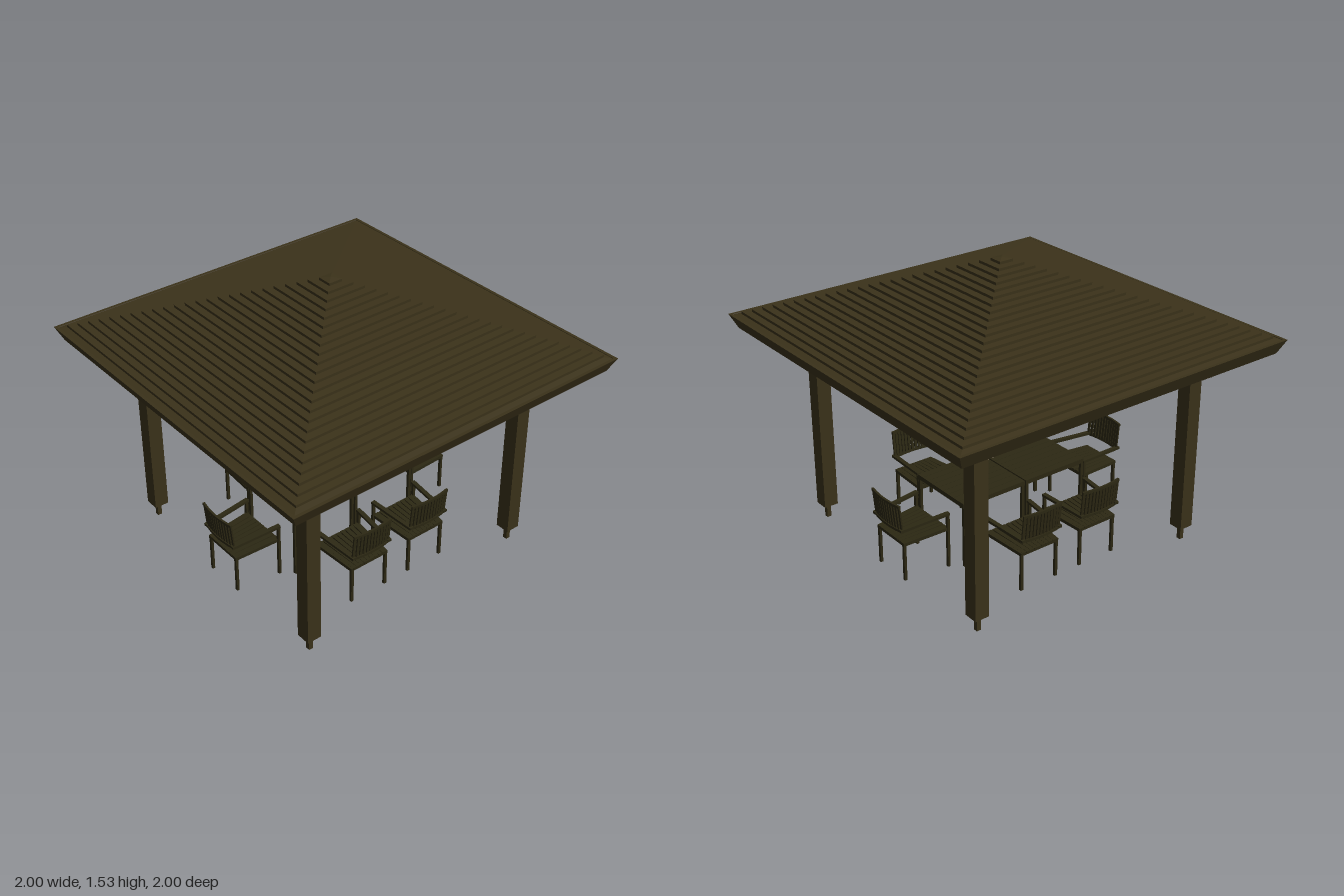
import * as THREE from 'three';

const wood = new THREE.MeshStandardMaterial({ color: 0x3b321a, flatShading: true });
const darkWood = new THREE.MeshStandardMaterial({ color: 0x2c2813, flatShading: true });
const glass = new THREE.MeshStandardMaterial({ color: 0xe0cbbb, flatShading: true });

function mesh(geometry, material, name, parent) {
  const m = new THREE.Mesh(geometry, material);
  m.name = name;
  parent.add(m);
  return m;
}

function box(parent, name, material, size, pos) {
  const m = mesh(new THREE.BoxGeometry(...size), material, name, parent);
  m.position.set(...pos);
  return m;
}

// Square bar from p to q, with width w and height h
function bar(parent, name, material, p, q, w, h) {
  const a = new THREE.Vector3(...p), b = new THREE.Vector3(...q);
  const m = new THREE.Mesh(new THREE.BoxGeometry(w, h, a.distanceTo(b)), material);
  m.name = name;
  m.position.copy(a).add(b).multiplyScalar(0.5);
  m.lookAt(b);
  parent.add(m);
  return m;
}

// Four-sided ring from a profile of [half width, height]
function squareRing(profile) {
  const points = profile.map(([half, y]) => new THREE.Vector2(half * Math.SQRT2, y));
  return new THREE.LatheGeometry(points, 4, Math.PI / 4).toNonIndexed();
}

function createRoof() {
  const roof = new THREE.Group();
  roof.name = 'roof';

  // Overlapping board courses rising to the apex
  const courses = 24, outer = [];
  const half = i => 0.95 * (1 - i / courses);
  const base = i => 1.168 + (0.95 - half(i)) * 0.38;
  for (let i = 0; i < courses; i++) {
    outer.push([half(i), base(i)], [half(i), base(i) + 0.014]);
    if (i < courses - 1) outer.push([half(i + 1), base(i + 1)]);
  }
  outer.push([0, 1.535]);
  const inner = outer.map(([h, y]) => [h, y - 0.012]).reverse();
  mesh(squareRing([...outer, ...inner, outer[0]]), wood, 'roofCourses', roof);

  // Eaves and slanted fascia
  mesh(squareRing([[0.93, 1.15], [0.985, 1.15], [0.985, 1.162], [0.93, 1.172], [0.93, 1.15]]),
    wood, 'eaves', roof);
  mesh(squareRing([[0.95, 1.09], [0.965, 1.09], [1, 1.165], [0.983, 1.165], [0.95, 1.09]]),
    wood, 'fascia', roof);

  // Hip rafters and ring beams
  for (let k = 0; k < 4; k++) {
    const side = new THREE.Group();
    side.name = 'roofFrame';
    bar(side, 'hipRafter', wood, [0.95, 1.135, 0.95], [0, 1.49, 0], 0.035, 0.05);
    box(side, 'ringBeam', wood, [1.35, 0.07, 0.04], [0, 1.13, 0.675]);
    side.rotation.y = k * Math.PI / 2;
    roof.add(side);
  }
  return roof;
}

function createLamp() {
  const lamp = new THREE.Group();
  lamp.name = 'lamp';
  box(lamp, 'lampBracket', wood, [0.025, 0.025, 0.025], [0, 1.01, 0.047]);
  box(lamp, 'lampGlass', glass, [0.06, 0.085, 0.055], [0, 1.0125, 0.085]);
  for (const x of [-0.03, 0.03]) for (const z of [0.0575, 0.1125])
    box(lamp, 'lampEdge', wood, [0.003, 0.086, 0.003], [x, 1.0125, z]);
  return lamp;
}

function createPost() {
  const post = new THREE.Group();
  post.name = 'post';

  // Hollow boarded sleeve around a core
  const w = 0.04, t = 0.033;
  const shape = new THREE.Shape([[-w, -w], [w, -w], [w, w], [-w, w]].map(p => new THREE.Vector2(...p)));
  shape.holes.push(new THREE.Path([[-t, -t], [-t, t], [t, t], [t, -t]].map(p => new THREE.Vector2(...p))));
  const sleeve = mesh(new THREE.ExtrudeGeometry(shape, { depth: 0.985, bevelEnabled: false }),
    wood, 'postSleeve', post);
  sleeve.rotation.x = -Math.PI / 2;
  sleeve.position.y = 0.08;
  box(post, 'postCore', wood, [0.056, 1.14, 0.056], [0, 0.67, 0]);
  box(post, 'postFoot', wood, [0.024, 0.11, 0.024], [0, 0.055, 0]);

  // Lamps on the two outward faces
  for (const turn of [0, Math.PI / 2]) {
    const lamp = createLamp();
    lamp.rotation.y = turn;
    post.add(lamp);
  }
  return post;
}

function createTable() {
  const table = new THREE.Group();
  table.name = 'table';
  const slats = 9, pitch = 0.4 / slats;
  for (let i = 0; i < slats; i++)
    box(table, 'tableSlat', darkWood, [pitch - 0.002, 0.014, 0.394], [-0.2 + (i + 0.5) * pitch, 0.361, 0]);
  for (const s of [-1, 1]) {
    box(table, 'tableRail', darkWood, [0.4, 0.024, 0.012], [0, 0.355, s * 0.191]);
    box(table, 'tableRail', darkWood, [0.012, 0.024, 0.39], [s * 0.194, 0.355, 0]);
    for (const z of [-0.188, 0.188])
      box(table, 'tableLeg', darkWood, [0.016, 0.35, 0.016], [s * 0.192, 0.175, z]);
  }
  return table;
}

// Armchair facing +z
function createChair() {
  const chair = new THREE.Group();
  chair.name = 'chair';

  for (const s of [-1, 1]) {
    box(chair, 'frontLeg', darkWood, [0.016, 0.305, 0.014], [s * 0.14, 0.1525, 0.135]);
    box(chair, 'backLeg', darkWood, [0.016, 0.21, 0.014], [s * 0.11, 0.105, -0.112]);
    bar(chair, 'seatRail', darkWood, [s * 0.112, 0.209, -0.12], [s * 0.135, 0.22, 0.142], 0.014, 0.018);
    bar(chair, 'armrest', darkWood, [s * 0.115, 0.294, -0.138], [s * 0.139, 0.308, 0.143], 0.024, 0.014);
  }
  box(chair, 'seatFrontRail', darkWood, [0.27, 0.016, 0.014], [0, 0.217, 0.132]);
  box(chair, 'seatBackRail', darkWood, [0.22, 0.016, 0.014], [0, 0.208, -0.112]);

  // Seat slats fanning out toward the front
  for (let i = -4; i <= 4; i++)
    bar(chair, 'seatSlat', darkWood, [i * 0.024, 0.214, -0.12], [i * 0.029, 0.224, 0.138], 0.023, 0.009);

  // Curved, leaning backrest of upright slats
  const bow = x => -0.014 * (1 - (x / 0.12) ** 2);
  const n = 12;
  for (let i = 0; i < n; i++) {
    const x = -0.113 + 0.226 * i / (n - 1);
    bar(chair, 'backSlat', darkWood, [x, 0.285, -0.122 + bow(x)], [x, 0.435, -0.137 + bow(x)], 0.015, 0.008);
  }
  for (const [y, z] of [[0.29, -0.126], [0.432, -0.138]]) {
    for (let i = 0; i < 6; i++) {
      const x0 = -0.12 + i * 0.04, x1 = x0 + 0.041;
      bar(chair, 'backRail', darkWood, [x0, y, z + bow(x0)], [x1, y, z + bow(x1)], 0.012, 0.014);
    }
  }
  return chair;
}

export function createModel() {
  const model = new THREE.Group();
  model.name = 'gazebo';
  model.add(createRoof());

  // Four corner posts
  [[1, 1], [1, -1], [-1, -1], [-1, 1]].forEach(([x, z], k) => {
    const post = createPost();
    post.position.set(x * 0.675, 0, z * 0.675);
    post.rotation.y = k * Math.PI / 2;
    model.add(post);
  });

  // Two tables end to end
  for (const z of [-0.201, 0.201]) {
    const table = createTable();
    table.position.z = z;
    model.add(table);
  }

  // Two chairs along each side and one at each end
  const place = (x, z, turn) => {
    const chair = createChair();
    chair.position.set(x, 0, z);
    chair.rotation.y = turn;
    model.add(chair);
  };
  for (const s of [-1, 1]) {
    place(0, s * 0.59, s > 0 ? Math.PI : 0);
    for (const z of [-0.19, 0.19]) place(s * 0.43, z, -s * Math.PI / 2);
  }
  return model;
}
